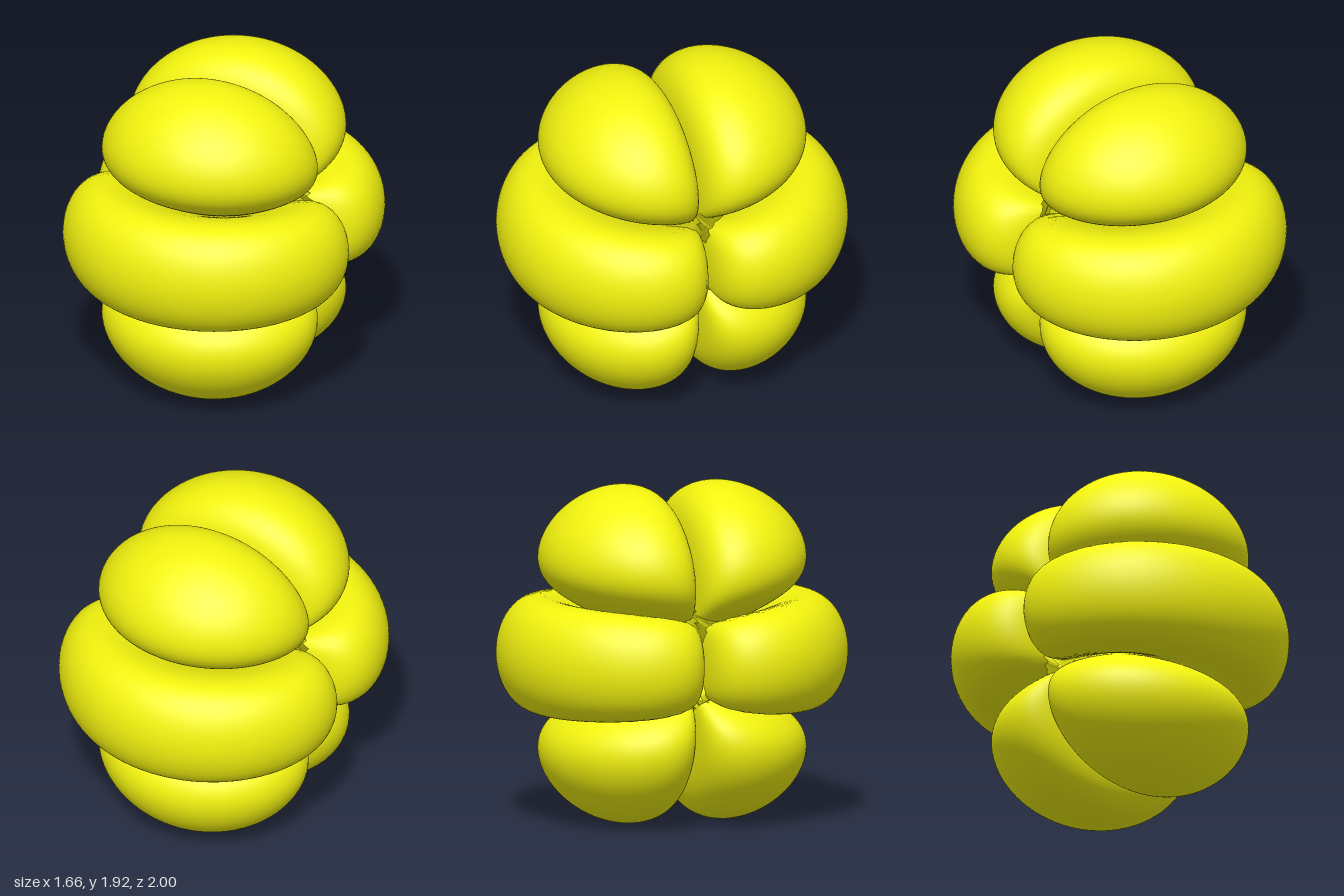
import * as THREE from 'three';

// Six lobes of a wave-like field around the centre: a plane z = 0 and a
// double cone about the y axis separate them.
const DECAY = 12.4;
const LEVEL = Math.exp(-DECAY);
const CENTRE_Y = 0.963;

function field(p) {
  const r2 = p.lengthSq();
  return p.z * (5 * p.y * p.y - r2) * Math.exp(-DECAY * Math.sqrt(r2));
}

// Outward normal: the field falls off outwards
function fieldNormal(p, sign) {
  const e = 1e-4;
  const slope = (axis) => {
    const a = p.clone(), b = p.clone();
    a[axis] -= e;
    b[axis] += e;
    return sign * (field(a) - field(b));
  };
  return new THREE.Vector3(slope('x'), slope('y'), slope('z')).normalize();
}

// Push a sphere's vertices out from the lobe's heart to the level surface
function lobeGeometry(heart) {
  const geo = new THREE.SphereGeometry(1, 120, 80);
  const pos = geo.attributes.position, nor = geo.attributes.normal;
  const sign = Math.sign(field(heart));
  const dir = new THREE.Vector3(), p = new THREE.Vector3();
  for (let i = 0; i < pos.count; i++) {
    dir.fromBufferAttribute(pos, i).normalize();
    let inside = 0, outside = 1.3;
    for (let k = 0; k < 26; k++) {
      const t = (inside + outside) / 2;
      p.copy(heart).addScaledVector(dir, t);
      if (sign * field(p) > LEVEL) inside = t;
      else outside = t;
    }
    p.copy(heart).addScaledVector(dir, inside);
    const n = fieldNormal(p, sign);
    pos.setXYZ(i, p.x, p.y, p.z);
    nor.setXYZ(i, n.x, n.y, n.z);
  }
  return geo;
}

export function createModel() {
  const group = new THREE.Group();
  group.name = 'lobeCluster';
  const material = new THREE.MeshStandardMaterial({ color: 0xf2f20f });
  const tiers = [
    { name: 'upper', y: 0.47, z: 0.29 },
    { name: 'middle', y: 0, z: 0.45 },
    { name: 'lower', y: -0.47, z: 0.29 },
  ];
  for (const tier of tiers) {
    for (const side of [1, -1]) {
      const heart = new THREE.Vector3(0, tier.y, side * tier.z);
      const lobe = new THREE.Mesh(lobeGeometry(heart), material);
      lobe.name = tier.name + (side > 0 ? 'FrontLobe' : 'BackLobe');
      lobe.position.y = CENTRE_Y;
      group.add(lobe);
    }
  }
  return group;
}
